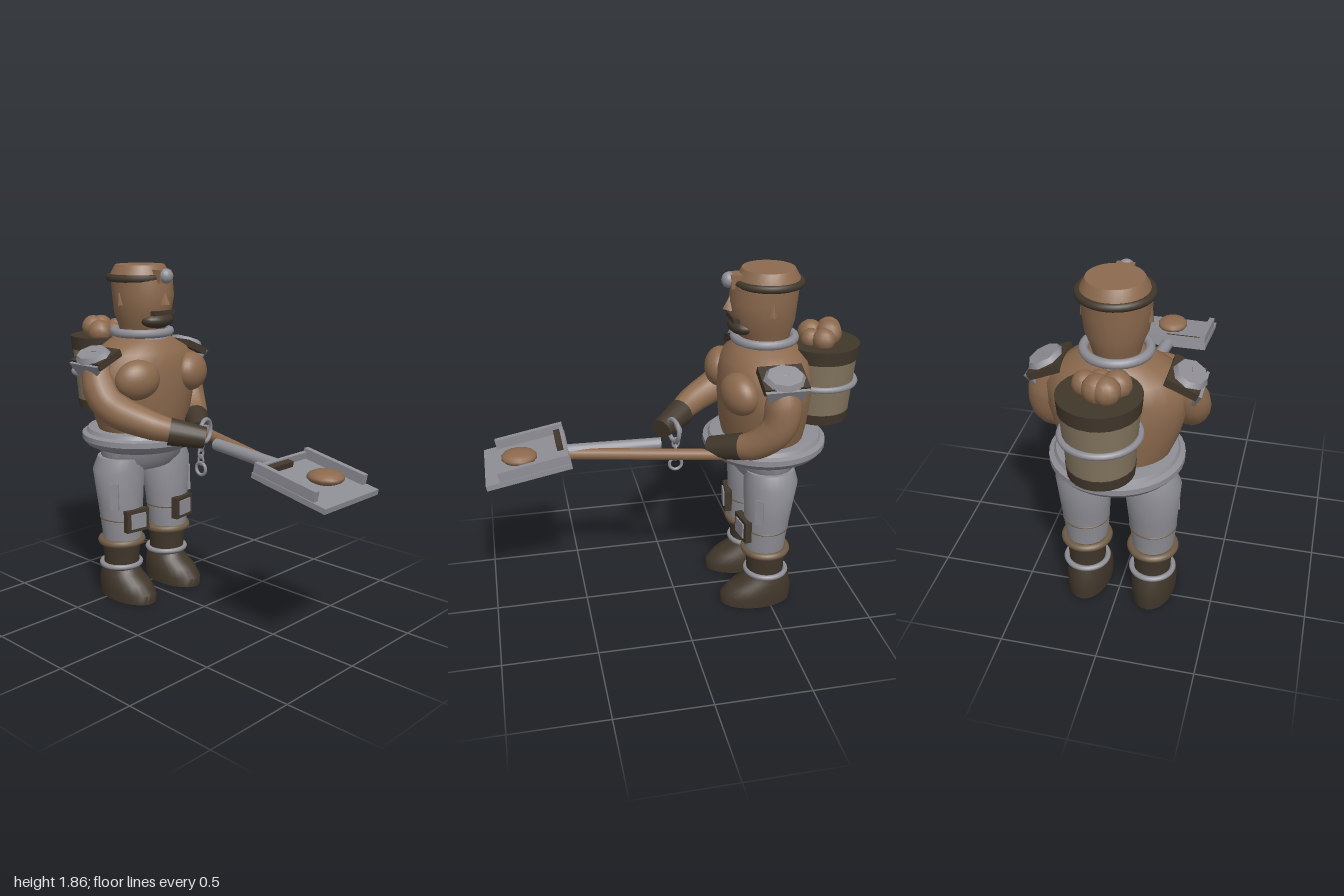
import * as THREE from 'three';
import { mergeVertices, toCreasedNormals } from 'three/addons/utils/BufferGeometryUtils.js';

const mat = (name, color) => Object.assign(new THREE.MeshStandardMaterial({ color }), { name });
const V = (p) => new THREE.Vector3(...p);

export function createModel() {
  const root = new THREE.Group();
  root.name = 'miner';
  const brown = mat('warm brown', 0x8c6a4e);
  const grey = mat('metal grey', 0x8e8e95);
  const dark = mat('dark leather', 0x41372b);
  const taupe = mat('basket taupe', 0x83755f);
  const trim = mat('trim brown', 0x6f5c45);

  const add = (name, geo, material, pos = [0, 0, 0], rot = [0, 0, 0], parent = root) => {
    const m = new THREE.Mesh(geo, material);
    m.name = name;
    m.position.set(...pos);
    m.rotation.set(...rot);
    parent.add(m);
    return m;
  };
  const box = (w, h, d) => new THREE.BoxGeometry(w, h, d);
  const ball = (rx, ry, rz, n = 20) => new THREE.SphereGeometry(1, n, Math.ceil(n * 0.6)).scale(rx, ry, rz);
  const ring = (r, t, ry = t) => new THREE.TorusGeometry(r, t, 8, 36).rotateX(Math.PI / 2).scale(1, ry / t, 1);

  // Capped body through elliptical sections [y, rx, rz, cz], listed upwards
  const loft = (rows, n = 28, crease = 0.8) => {
    const g = new THREE.CylinderGeometry(1, 1, 1, n, rows.length - 1);
    const p = g.attributes.position;
    for (let i = 0; i < p.count; i++) {
      const [y, rx, rz, cz = 0] = rows[Math.round((p.getY(i) + 0.5) * (rows.length - 1))];
      p.setXYZ(i, p.getX(i) * rx, y, p.getZ(i) * rz + cz);
    }
    g.deleteAttribute('uv');
    g.deleteAttribute('normal');
    return toCreasedNormals(mergeVertices(g, 1e-5), crease);
  };

  // Tapered cylinder between two points
  const rod = (name, a, b, r1, r2, material, n = 16) => {
    const from = V(a), dir = V(b).sub(from);
    const m = add(name, new THREE.CylinderGeometry(r2, r1, dir.length(), n), material);
    m.position.copy(from).addScaledVector(dir, 0.5);
    m.quaternion.setFromUnitVectors(new THREE.Vector3(0, 1, 0), dir.normalize());
    return m;
  };

  // Tube whose radius follows a list of values
  const limb = (points, radii) => {
    const curve = new THREE.CatmullRomCurve3(points.map(V));
    const steps = 28, sides = 16;
    const g = new THREE.TubeGeometry(curve, steps, 1, sides);
    const p = g.attributes.position, v = new THREE.Vector3();
    for (let i = 0; i < p.count; i++) {
      const t = Math.floor(i / (sides + 1)) / steps;
      const f = t * (radii.length - 1), k = Math.min(Math.floor(f), radii.length - 2);
      const r = THREE.MathUtils.lerp(radii[k], radii[k + 1], f - k);
      const c = curve.getPointAt(t);
      v.fromBufferAttribute(p, i).sub(c).multiplyScalar(r).add(c);
      p.setXYZ(i, v.x, v.y, v.z);
    }
    g.computeVertexNormals();
    return g;
  };

  // Torso, chest, belt and hips
  add('torso', loft([
    [0.93, 0.25, 0.21, -0.49], [1.05, 0.3, 0.23, -0.485], [1.2, 0.34, 0.24, -0.485],
    [1.32, 0.345, 0.235, -0.485], [1.4, 0.29, 0.215, -0.485], [1.45, 0.2, 0.17, -0.485],
    [1.49, 0.13, 0.13, -0.485]]), brown);
  add('belt', loft([
    [0.855, 0.27, 0.26], [0.875, 0.31, 0.305], [0.905, 0.335, 0.33], [0.935, 0.335, 0.33],
    [0.945, 0.31, 0.305], [0.965, 0.3, 0.295], [0.97, 0.26, 0.25]], 36, 0.5), grey, [0, 0, -0.5]);
  add('hips', loft([
    [0.74, 0.2, 0.13, -0.49], [0.79, 0.265, 0.17, -0.49], [0.87, 0.275, 0.19, -0.49]]), grey);

  // Head and cap
  add('head', loft([
    [1.48, 0.11, 0.12, -0.48], [1.54, 0.125, 0.145, -0.475], [1.6, 0.15, 0.165, -0.47],
    [1.7, 0.162, 0.178, -0.465], [1.79, 0.165, 0.175, -0.475]]), brown);
  add('capCrown', loft([[1.785, 0.167, 0.172], [1.82, 0.158, 0.16], [1.862, 0.135, 0.135]], 28, 0.4),
    brown, [0, 0, -0.488]);
  add('capBrim', ring(0.168, 0.02), dark, [0, 1.793, -0.488]);
  add('lampBracket', box(0.085, 0.07, 0.06), brown, [0, 1.805, -0.315]);
  add('lamp', ball(0.04, 0.04, 0.035), grey, [0, 1.808, -0.28]);
  add('nose', new THREE.ConeGeometry(0.035, 0.08, 4), brown, [0, 1.695, -0.292], [-0.1, 0, 0]);
  add('beard', ball(0.105, 0.045, 0.07), dark, [0, 1.57, -0.355]);
  add('moustache', box(0.15, 0.025, 0.05), dark, [0, 1.612, -0.318]);
  add('neckRing', ring(0.155, 0.024), grey, [0, 1.5, -0.48]);
  add('collar', ring(0.13, 0.022), grey, [0, 1.462, -0.48]);

  for (const s of [-1, 1]) {
    const side = s < 0 ? 'right' : 'left';
    add(side + 'Ear', new THREE.ConeGeometry(0.03, 0.07, 4), brown, [s * 0.155, 1.69, -0.475], [0, 0, -s * 0.3]);
    add(side + 'Chest', ball(0.125, 0.108, 0.085, 28), brown, [s * 0.2, 1.272, -0.3], [0, s * 0.35, -s * 0.1]);

    // Shoulder armour
    const pad = new THREE.Group();
    pad.name = side + 'ShoulderPlate';
    pad.position.set(s * 0.325, 1.385, -0.485);
    pad.rotation.z = -s * 0.4;
    root.add(pad);
    add('shoulderLeather', box(0.165, 0.04, 0.23), dark, [0, 0, 0], [0, 0, 0], pad);
    add('shoulderMetal', new THREE.CylinderGeometry(0.075, 0.09, 0.03, 8).scale(1, 1, 1.25), grey,
      [s * 0.015, 0.03, 0], [0, 0, 0], pad);
    add('shoulderSkirt', new THREE.CylinderGeometry(0.16, 0.1, 0.09, 4, 1).rotateY(Math.PI / 4).scale(0.12, 1, 1),
      grey, [s * 0.085, -0.035, 0], [0, 0, 0], pad);

    // Leg
    const leg = new THREE.Group();
    leg.name = side + 'Leg';
    leg.position.x = s * 0.178;
    root.add(leg);
    add('trouserLeg', loft([
      [0.32, 0.105, 0.11, -0.475], [0.4, 0.115, 0.115, -0.475], [0.55, 0.128, 0.125, -0.485],
      [0.75, 0.145, 0.145, -0.495], [0.82, 0.11, 0.13, -0.49]]), grey, [0, 0, 0], [0, 0, 0], leg);
    add('kneeSeam', ring(0.119, 0.005), trim, [0, 0.47, -0.48], [0, 0, 0], leg);
    add('bootCuff', ring(0.115, 0.021), trim, [0, 0.33, -0.482], [0, 0, 0], leg);
    add('bootShaft', loft([[0.14, 0.092, 0.105], [0.23, 0.098, 0.103], [0.33, 0.108, 0.115]]), dark,
      [0, 0, -0.486], [0, 0, 0], leg);
    add('ankleRing', ring(0.11, 0.015), grey, [0, 0.19, -0.49], [0, 0, 0], leg);
    add('boot', loft([
      [0, 0.115, 0.2, -0.435], [0.05, 0.117, 0.202, -0.437], [0.1, 0.113, 0.175, -0.46],
      [0.14, 0.102, 0.135, -0.49], [0.18, 0.092, 0.11, -0.5]]), dark, [0, 0, 0], [0, 0, 0], leg);
    add('kneePad', box(0.145, 0.125, 0.04), dark, [0, 0.47, -0.355], [0, s * 0.15, 0], leg);
    add('kneePlate', box(0.095, 0.085, 0.05), grey, [0, 0.47, -0.352], [0, s * 0.15, 0], leg);
    add('thighPanel', box(0.02, 0.15, 0.045), grey, [s * 0.107, 0.615, -0.41], [0, -s * 0.6, 0], leg);
  }

  // Arms and gloves
  add('leftArm', limb([[0.29, 1.4, -0.485], [0.335, 1.28, -0.49], [0.345, 1.14, -0.47],
    [0.29, 1.02, -0.36], [0.18, 0.98, -0.22]], [0.07, 0.095, 0.088, 0.072, 0.05]), brown);
  add('rightArm', limb([[-0.29, 1.4, -0.485], [-0.335, 1.28, -0.46], [-0.34, 1.15, -0.37],
    [-0.25, 1.06, -0.16], [-0.11, 1.01, -0.01]], [0.07, 0.095, 0.09, 0.075, 0.05]), brown);
  rod('leftGlove', [0.25, 1.0, -0.31], [0.14, 0.955, -0.17], 0.072, 0.06, dark);
  rod('rightGlove', [-0.18, 1.025, -0.08], [-0.05, 0.99, 0.055], 0.075, 0.058, dark);

  // Shovel
  rod('shovelShaft', [0.21, 0.94, -0.24], [-0.02, 0.912, 0.55], 0.03, 0.031, brown);
  rod('shovelSocket', [0.02, 0.945, 0.07], [-0.03, 0.925, 0.565], 0.032, 0.035, grey);
  add('shovelHandle', new THREE.TorusGeometry(0.06, 0.012, 8, 24), grey, [0.01, 1.01, 0.0], [0, 0.3, 0]);
  add('handleBolt', box(0.1, 0.02, 0.025), grey, [0.0, 1.02, -0.025]);
  const blade = new THREE.Group();
  blade.name = 'shovelBlade';
  blade.position.set(-0.045, 0.89, 0.775);
  blade.rotation.x = 0.19;
  root.add(blade);
  const onBlade = (name, w, h, d, m, ...pos) => add(name, box(w, h, d), m, pos, [0, 0, 0], blade);
  onBlade('bladePlate', 0.42, 0.028, 0.445, grey, 0, 0, 0);
  for (const s of [-1, 1]) onBlade('bladeSide', 0.03, 0.055, 0.37, grey, s * 0.19, 0.038, -0.035);
  onBlade('bladeBack', 0.36, 0.04, 0.02, grey, 0, 0.03, -0.21);
  onBlade('bladeBackLining', 0.2, 0.03, 0.04, dark, -0.07, 0.028, -0.185);
  add('shovelledOre', ball(0.088, 0.036, 0.095, 14), brown, [-0.015, 0.925, 0.815]);

  // Hanging chain
  for (let i = 0; i < 3; i++) {
    add('chainLink', new THREE.TorusGeometry(0.018, 0.006, 6, 14).scale(1, 1.4, 1), grey,
      [-0.01, 0.925 - i * 0.038, -0.015], [0, i % 2 ? 0 : Math.PI / 2, 0]);
  }
  add('chainRing', new THREE.TorusGeometry(0.034, 0.009, 8, 20), grey, [-0.01, 0.8, -0.015], [0, Math.PI / 2, 0]);

  // Back basket with ore
  const basket = new THREE.Group();
  basket.name = 'basket';
  basket.position.z = -0.8;
  root.add(basket);
  const hoop = (name, y0, r0, y1, r1, m) =>
    add(name, new THREE.CylinderGeometry(r1, r0, y1 - y0, 24), m, [0, (y0 + y1) / 2, 0], [0, 0, 0], basket);
  hoop('basketBase', 1.03, 0.158, 1.085, 0.164, dark);
  hoop('basketBody', 1.085, 0.16, 1.375, 0.184, taupe);
  hoop('basketRim', 1.375, 0.19, 1.45, 0.196, dark);
  add('basketBand', ring(0.182, 0.017), grey, [0, 1.24, 0], [0, 0, 0], basket);
  for (const [x, y, z, r] of [[-0.045, 1.495, -0.045, 0.066], [0.07, 1.48, 0.02, 0.06],
    [-0.07, 1.475, 0.045, 0.07], [0, 1.49, -0.03, 0.07], [0.01, 1.47, 0.07, 0.055]]) {
    add('ore', ball(r, r, r, 12), brown, [x, y, z], [0, 0, 0], basket);
  }
  return root;
}
